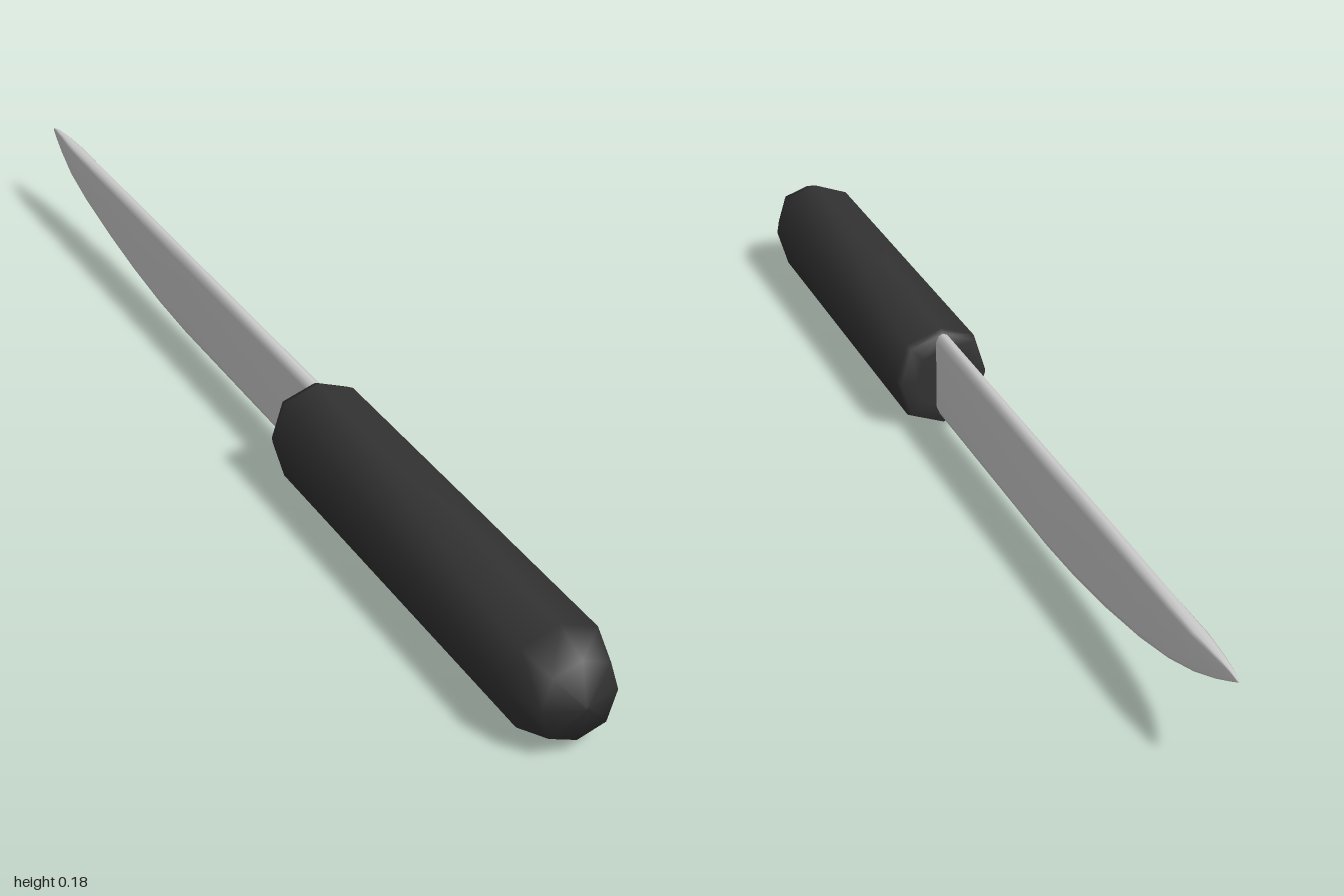
import * as THREE from 'three';

// Skins a stack of rings (ordered from +z to -z, each counter-clockwise seen from +z) and closes both ends.
function loft(rings) {
  const n = rings[0].length;
  const last = (rings.length - 1) * n;
  const points = rings.flat();
  const index = [];
  for (let i = 0; i < rings.length - 1; i++) {
    for (let j = 0; j < n; j++) {
      const a = i * n + j, b = i * n + (j + 1) % n;
      index.push(a, a + n, b, b, a + n, b + n);
    }
  }
  for (const [start, flip] of [[0, false], [last, true]]) {
    const centre = points.length;
    const mid = [0, 1, 2].map(k => points.slice(start, start + n).reduce((s, p) => s + p[k], 0) / n);
    points.push(mid);
    for (let j = 0; j < n; j++) {
      const a = start + j, b = start + (j + 1) % n;
      index.push(centre, flip ? b : a, flip ? a : b);
    }
  }
  const geometry = new THREE.BufferGeometry();
  geometry.setAttribute('position', new THREE.Float32BufferAttribute(points.flat(), 3));
  geometry.setIndex(index);
  geometry.computeVertexNormals();
  return geometry;
}

// Octagonal grip section with slightly full diagonals
function gripRing([z, scale]) {
  return Array.from({ length: 8 }, (_, j) => {
    const angle = j * Math.PI / 4;
    const r = scale * (j % 2 ? 1.06 : 1);
    return [0.0815 * r * Math.cos(angle), 0.0885 + 0.0885 * r * Math.sin(angle), z];
  });
}

// Flat-sided blade section: rounded spine on top, bevelled cutting edge below
function bladeRing([z, bottom, top, half]) {
  const h = top - bottom;
  const side = [
    [0, bottom],
    [half * 0.55, bottom + h * 0.035],
    [half, bottom + h * 0.13],
    [half, top - h * 0.09],
    [half * 0.6, top - h * 0.02],
    [0, top],
  ];
  const mirrored = side.slice(1, -1).reverse().map(([x, y]) => [-x, y]);
  return [...side, ...mirrored].map(([x, y]) => [x, y, z]);
}

export function createModel() {
  const group = new THREE.Group();
  group.name = 'knife';

  // Handle: domed butt, straight grip, small bevel where the blade enters
  const handle = new THREE.Mesh(
    loft([[1, 0.03], [0.98, 0.75], [0.92, 1], [0.18, 1], [0.166, 0.94], [0.165, 0.6]].map(gripRing)),
    new THREE.MeshStandardMaterial({ color: 0x333333 })
  );
  handle.name = 'handle';

  // Blade stations: z, edge height, spine height, half thickness
  const stations = [
    [0.2, 0.017, 0.172, 0.013],
    [-0.34, 0.017, 0.172, 0.013],
    [-0.46, 0.023, 0.172, 0.013],
    [-0.58, 0.036, 0.172, 0.013],
    [-0.7, 0.055, 0.171, 0.013],
    [-0.8, 0.078, 0.17, 0.013],
    [-0.88, 0.104, 0.169, 0.0125],
    [-0.94, 0.128, 0.168, 0.008],
    [-0.98, 0.147, 0.165, 0.004],
    [-1, 0.157, 0.16, 0.001],
  ];
  const blade = new THREE.Mesh(
    loft(stations.map(bladeRing)),
    new THREE.MeshStandardMaterial({ color: 0xcccccc })
  );
  blade.name = 'blade';

  group.add(handle, blade);
  return group;
}
